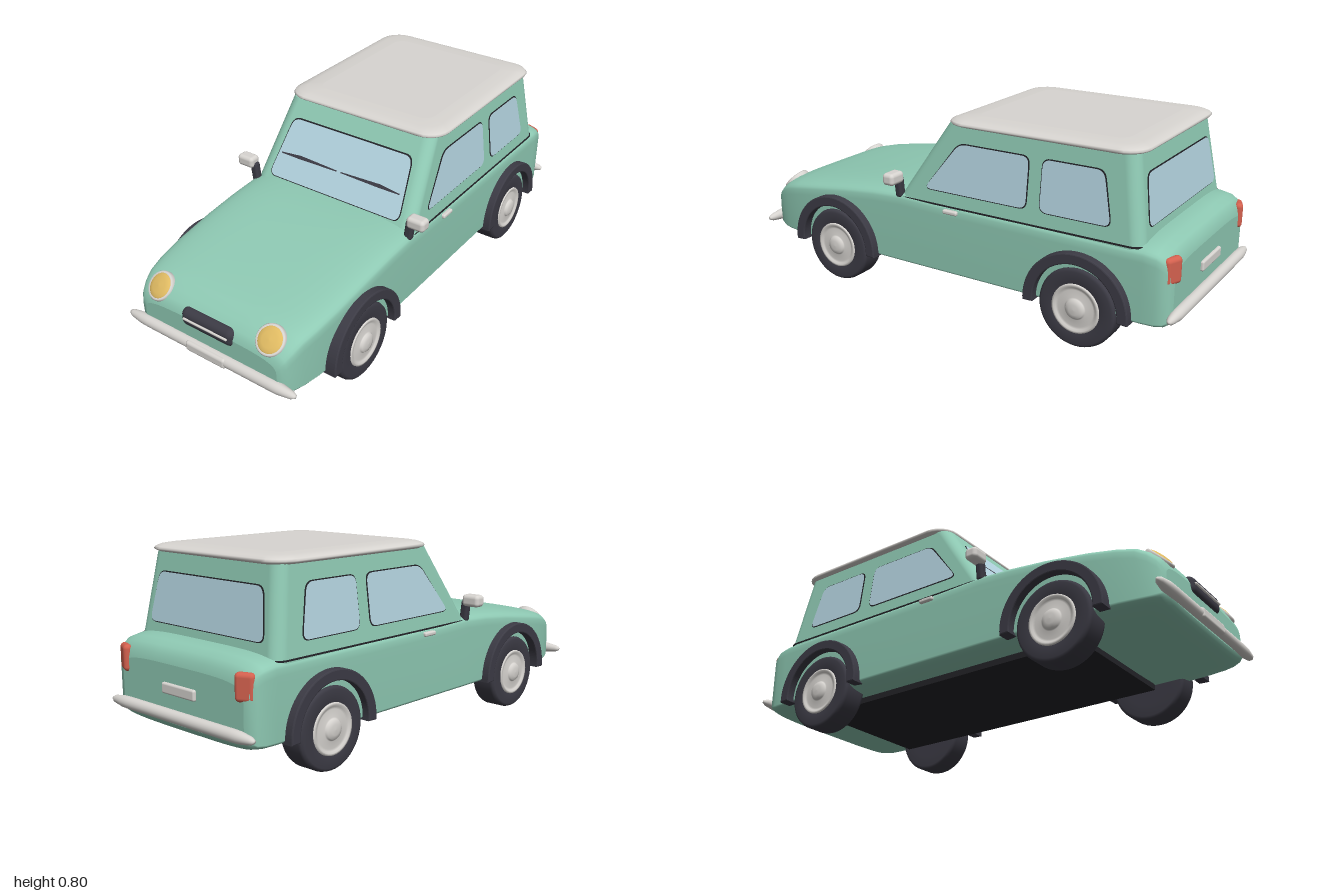
import * as THREE from 'three';
import { RoundedBoxGeometry } from 'three/addons/geometries/RoundedBoxGeometry.js';

const mat = (name, color) => Object.assign(new THREE.MeshStandardMaterial({ color }), { name });

// Skin a list of closed rings and cap both ends with separate vertices
function loft(rings) {
  const n = rings[0].length, pos = [], idx = [];
  rings.forEach(r => r.forEach(p => pos.push(...p)));
  for (let k = 0; k < rings.length - 1; k++)
    for (let i = 0; i < n; i++) {
      const a = k * n + i, b = k * n + (i + 1) % n;
      idx.push(a, b, b + n, a, b + n, a + n);
    }
  [rings[0], rings[rings.length - 1]].forEach((r, end) => {
    const base = pos.length / 3;
    r.forEach(p => pos.push(...p));
    pos.push(...[0, 1, 2].map(c => r.reduce((s, p) => s + p[c], 0) / n));
    for (let i = 0; i < n; i++) {
      const a = base + i, b = base + (i + 1) % n;
      idx.push(base + n, ...(end ? [a, b] : [b, a]));
    }
  });
  const g = new THREE.BufferGeometry();
  g.setAttribute('position', new THREE.Float32BufferAttribute(pos, 3));
  g.setIndex(idx);
  g.computeVertexNormals();
  return g;
}

// Horizontal rounded rectangle at height y
function level(y, hx, zBack, zFront, r) {
  const ring = [];
  for (let q = 0; q < 4; q++)
    for (let i = 0; i <= 6; i++) {
      const a = (q + i / 6) * Math.PI / 2;
      const cx = (q === 0 || q === 3) ? hx - r : r - hx;
      const cz = q < 2 ? zBack + r : zFront - r;
      ring.push([cx + r * Math.cos(a), y, cz - r * Math.sin(a)]);
    }
  return ring;
}

// Upright body section: softly crowned top, tighter rounded sill
function section([z, w, yb, yt]) {
  const ring = [], n = 12, crown = 0.07, sill = 0.05;
  for (let i = 0; i < 4 * n; i++) {
    const a = i / (4 * n) * Math.PI * 2, c = Math.cos(a), s = Math.sin(a);
    const x = w * Math.sign(c) * Math.sqrt(Math.abs(c)), v = Math.sqrt(Math.abs(s));
    ring.push([x, s >= 0 ? yt - crown + crown * v : yb + sill - sill * v, z]);
  }
  return ring;
}

// Polygon with rounded corners, optionally grown about its centre
function roundedShape(pts, r, grow = 0) {
  const c = pts.reduce((s, p) => [s[0] + p[0] / pts.length, s[1] + p[1] / pts.length], [0, 0]);
  const v = pts.map(p => new THREE.Vector2(p[0] + grow * Math.sign(p[0] - c[0]), p[1] + grow * Math.sign(p[1] - c[1])));
  const shape = new THREE.Shape();
  v.forEach((p, i) => {
    const prev = v[(i + v.length - 1) % v.length], next = v[(i + 1) % v.length];
    const a = p.clone().add(prev.clone().sub(p).setLength(r));
    const b = p.clone().add(next.clone().sub(p).setLength(r));
    if (i) shape.lineTo(a.x, a.y); else shape.moveTo(a.x, a.y);
    shape.quadraticCurveTo(p.x, p.y, b.x, b.y);
  });
  shape.closePath();
  return shape;
}

// Sloping planes of the cabin walls
const wallX = y => 0.399 - 0.1235 * (y - 0.43);
const wallFront = y => 0.24 - 0.667 * (y - 0.43);
const wallBack = y => -0.857 + 0.165 * (y - 0.43);
const faces = {
  front: (u, y, d) => [u, y, wallFront(y) + d],
  back: (u, y, d) => [-u, y, wallBack(y) - d],
  left: (u, y, d) => [wallX(y) + d, y, -u],
  right: (u, y, d) => [-wallX(y) - d, y, u],
};

export function createModel() {
  const car = new THREE.Group();
  car.name = 'car';
  const green = mat('mint paint', 0x8fcab4), chrome = mat('pale trim', 0xd8d5d1);
  const rubber = mat('dark rubber', 0x3c3b45), under = mat('underside black', 0x232328);
  const glass = mat('window glass', 0xb3d3df), amber = mat('headlamp amber', 0xdfba62);
  const red = mat('tail lamp red', 0xd4614f);
  glass.side = THREE.DoubleSide;

  const add = (name, geo, material, p = [0, 0, 0], rot = [0, 0, 0], parent = car) => {
    const m = new THREE.Mesh(geo, material);
    m.name = name;
    m.position.set(...p);
    m.rotation.set(...rot);
    parent.add(m);
    return m;
  };
  const box = (x, y, z, r) => new RoundedBoxGeometry(x, y, z, 4, r);
  const lathe = (pts, seg = 40) => new THREE.LatheGeometry(pts.map(p => new THREE.Vector2(...p)), seg);
  const plate = (name, shape, face, d, material) => {
    const g = new THREE.ShapeGeometry(shape, 6), p = g.attributes.position;
    for (let i = 0; i < p.count; i++) p.setXYZ(i, ...faces[face](p.getX(i), p.getY(i), d));
    g.computeVertexNormals();
    add(name, g, material);
  };

  // Lower body, rear to front
  add('body', loft([
    [-0.965, 0.35, 0.165, 0.385], [-0.958, 0.375, 0.148, 0.415], [-0.94, 0.393, 0.138, 0.442],
    [-0.91, 0.402, 0.135, 0.458], [-0.86, 0.406, 0.135, 0.466], [-0.4, 0.408, 0.135, 0.47],
    [0, 0.408, 0.135, 0.472], [0.22, 0.408, 0.135, 0.478], [0.36, 0.407, 0.135, 0.47],
    [0.52, 0.406, 0.135, 0.453], [0.7, 0.402, 0.135, 0.427], [0.81, 0.393, 0.135, 0.408],
    [0.88, 0.381, 0.135, 0.392], [0.92, 0.37, 0.137, 0.37], [0.95, 0.356, 0.143, 0.345],
    [0.963, 0.345, 0.152, 0.325], [0.97, 0.325, 0.168, 0.305],
  ].map(section)), green);

  // Cabin, waist seam and roof
  add('cabin', loft([0.43, 0.55, 0.66, 0.77].map(y => level(y, wallX(y), wallBack(y), wallFront(y), 0.05))), green);
  add('waistSeam', loft([0.439, 0.445].map(y => level(y, 0.401, -0.859, 0.236, 0.05))), under);
  add('roof', loft([[0.764, 0.018, 0.08], [0.77, 0.004, 0.09], [0.776, 0, 0.09], [0.783, 0.004, 0.09],
    [0.79, 0.02, 0.08], [0.795, 0.045, 0.07], [0.798, 0.1, 0.05]]
    .map(([y, inset, r]) => level(y, 0.38 - inset, -0.825 + inset, 0.017 - inset, r))), chrome);

  // Windows with dark gaskets
  const mirrorPts = pts => pts.map(([u, y]) => [-u, y]).reverse();
  const windowPane = (name, pts, face) => {
    plate(name + 'Gasket', roundedShape(pts, 0.035, 0.004), face, 0.002, under);
    plate(name, roundedShape(pts, 0.033), face, 0.005, glass);
  };
  windowPane('windscreen', [[-0.33, 0.485], [0.33, 0.485], [0.297, 0.702], [-0.297, 0.702]], 'front');
  windowPane('rearWindow', [[-0.325, 0.5], [0.325, 0.5], [0.295, 0.69], [-0.295, 0.69]], 'back');
  const doorPane = [[-0.095, 0.5], [0.375, 0.5], [0.375, 0.698], [0.06, 0.698]];
  const quarterPane = [[0.435, 0.5], [0.728, 0.5], [0.685, 0.698], [0.435, 0.698]];
  for (const [name, pts] of [['doorWindow', doorPane], ['quarterWindow', quarterPane]]) {
    windowPane(name + 'Left', pts, 'left');
    windowPane(name + 'Right', mirrorPts(pts), 'right');
  }

  // Wipers
  for (const s of [-1, 1]) {
    const pts = [[0.01, 0.575], [0.2, 0.572], [0.3, 0.573], [0.3, 0.577], [0.2, 0.585], [0.01, 0.579]];
    plate('wiper', new THREE.Shape((s > 0 ? pts : mirrorPts(pts)).map(p => new THREE.Vector2(...p))), 'front', 0.012, rubber);
  }

  // Bumpers and number plates
  const bumper = lathe([[0, -0.413], [0.008, -0.41], [0.015, -0.395], [0.023, -0.34], [0.024, -0.3],
    [0.024, 0.3], [0.023, 0.34], [0.015, 0.395], [0.008, 0.41], [0, 0.413]], 24);
  for (const s of [-1, 1])
    add(s > 0 ? 'frontBumper' : 'rearBumper', bumper, chrome, [0, 0.197, s * 0.974], [0, 0, -Math.PI / 2]);
  add('frontPlate', box(0.195, 0.044, 0.03, 0.012), chrome, [0, 0.196, 0.985]);
  add('rearPlate', box(0.19, 0.042, 0.024, 0.008), chrome, [0, 0.295, -0.965]);

  // Grille
  add('grille', box(0.256, 0.076, 0.06, 0.028), rubber, [0, 0.308, 0.952]);
  add('grilleBar', box(0.216, 0.011, 0.016, 0.005), chrome, [0, 0.311, 0.98]);

  // Floor and axles
  add('floor', new THREE.BoxGeometry(0.59, 0.025, 1.32), under, [0, 0.1245, -0.06]);
  for (const z of [0.56, -0.61])
    add('axle', new THREE.CylinderGeometry(0.025, 0.025, 0.66, 16), under, [0, 0.145, z], [0, 0, Math.PI / 2]);

  // Shared wheel and arch shapes
  const tyre = lathe([[0, -0.055], [0.1, -0.055], [0.146, -0.055], [0.156, -0.05], [0.16, -0.038],
    [0.16, 0.038], [0.156, 0.049], [0.146, 0.055], [0.1, 0.055], [0.094, 0.045], [0, 0.045]], 48);
  const rim = lathe([[0.1, 0.05], [0.098, 0.059], [0.09, 0.06], [0.083, 0.054], [0.074, 0.052], [0.045, 0.056],
    [0.04, 0.058], [0.036, 0.066], [0.02, 0.07], [0, 0.071]]);
  const archShape = new THREE.Shape();
  archShape.absarc(0, 0, 0.214, -0.04, Math.PI + 0.04, false);
  archShape.absarc(0, 0, 0.181, Math.PI + 0.04, -0.04, true);
  const arch = new THREE.ExtrudeGeometry(archShape,
    { depth: 0.05, curveSegments: 32, bevelThickness: 0.005, bevelSize: 0.005, bevelSegments: 2 });
  arch.translate(0, 0, -0.025).rotateY(Math.PI / 2);

  for (const s of [-1, 1]) {
    const side = s > 0 ? 'Left' : 'Right';
    // Wheels and arches
    for (const [end, z] of [['front', 0.56], ['rear', -0.61]]) {
      const wheel = new THREE.Group();
      wheel.name = end + 'Wheel' + side;
      wheel.position.set(s * 0.365, 0.16, z);
      wheel.rotation.z = -s * Math.PI / 2;
      add('tyre', tyre, rubber, [0, 0, 0], [0, 0, 0], wheel);
      add('rim', rim, chrome, [0, 0, 0], [0, 0, 0], wheel);
      car.add(wheel);
      add(end + 'Arch' + side, arch, rubber, [s * 0.41, 0.165, z]);
    }
    // Headlamps
    const lamp = new THREE.Group();
    lamp.name = 'headlamp' + side;
    lamp.position.set(s * 0.27, 0.352, 0.925);
    lamp.rotation.set(0.8, 0, -s * 0.08);
    add('lampRing', lathe([[0.056, -0.03], [0.06, -0.01], [0.06, 0.006], [0.056, 0.012], [0.05, 0.01], [0, 0.01]]),
      chrome, [0, 0, 0], [0, 0, 0], lamp);
    add('lampLens', lathe([[0.051, 0.009], [0.045, 0.014], [0.03, 0.018], [0, 0.02]]), amber, [0, 0, 0], [0, 0, 0], lamp);
    car.add(lamp);
    // Tail lamps
    add('tailLamp' + side, box(0.078, 0.105, 0.036, 0.017), red, [s * 0.347, 0.368, -0.95], [0, -s * 0.4, 0]);
    // Mirrors and door handles
    add('mirror' + side, box(0.082, 0.05, 0.055, 0.016), chrome, [s * 0.43, 0.528, 0.225]);
    add('mirrorStalk' + side, box(0.036, 0.09, 0.032, 0.012), rubber, [s * 0.393, 0.482, 0.222], [0, 0, -s * 0.12]);
    add('doorHandle' + side, box(0.022, 0.018, 0.068, 0.007), chrome, [s * 0.408, 0.424, -0.04]);
  }
  return car;
}
